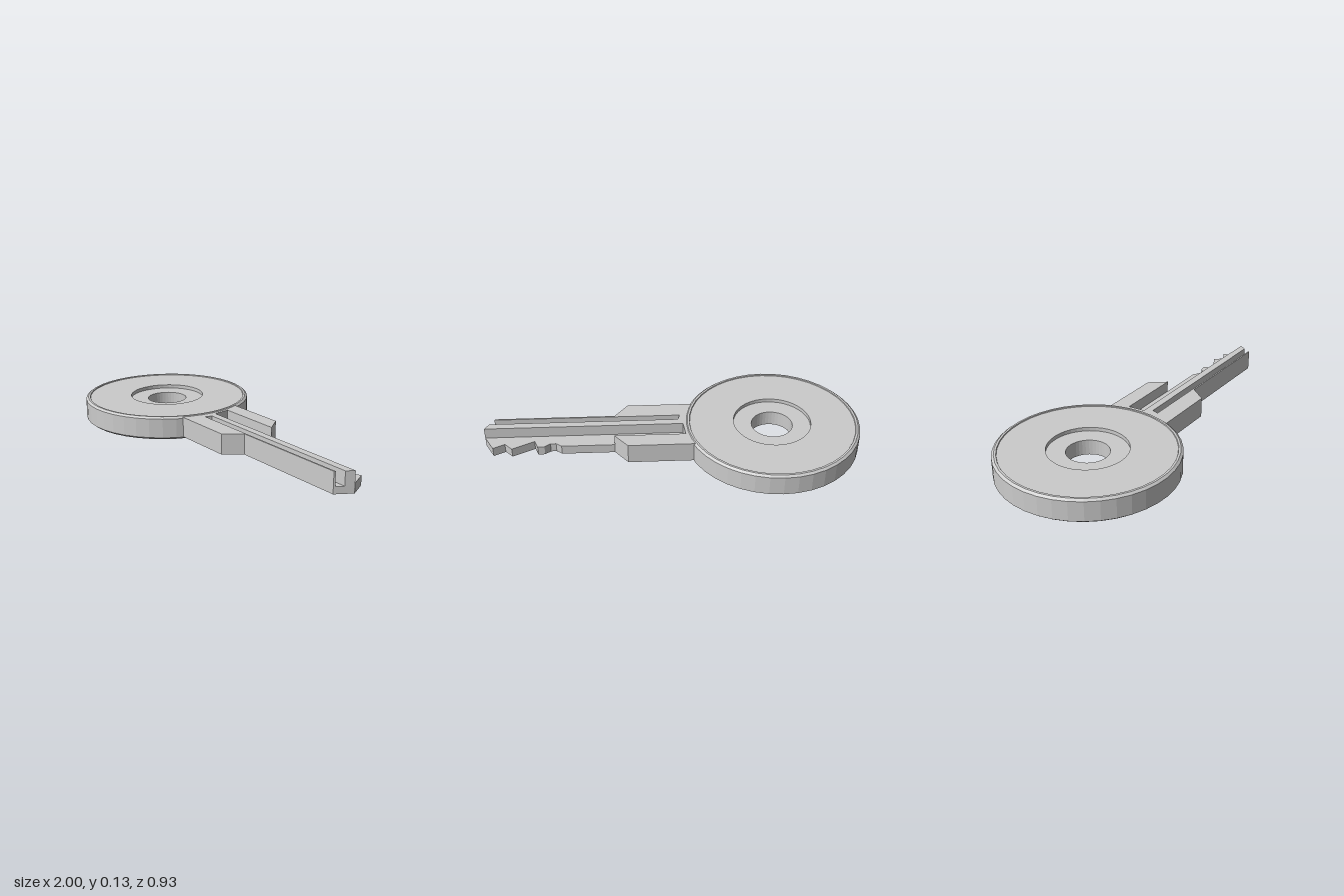
import * as THREE from 'three';

const HEAD_X = -0.533;
const material = new THREE.MeshStandardMaterial({ color: 0xcccccc, flatShading: true });

// Flat slab from an [x, z] outline, between two heights
function slab(name, points, y0, y1) {
  const shape = new THREE.Shape(points.map(([x, z]) => new THREE.Vector2(x, -z)));
  const geometry = new THREE.ExtrudeGeometry(shape, { depth: y1 - y0, bevelEnabled: false });
  geometry.rotateX(-Math.PI / 2);
  geometry.translate(0, y0, 0);
  const mesh = new THREE.Mesh(geometry, material);
  mesh.name = name;
  return mesh;
}

export function createModel() {
  const key = new THREE.Group();
  key.name = 'key';

  // Round head: chamfered edge, thin raised rim, recesses on both faces, through hole
  const profile = [
    [0.11, 0.02], [0.207, 0.02], [0.207, 0], [0.452, 0], [0.467, 0.012],
    [0.467, 0.117], [0.455, 0.127], [0.444, 0.127], [0.442, 0.122],
    [0.207, 0.122], [0.207, 0.102], [0.11, 0.102], [0.11, 0.02],
  ].map(([r, y]) => new THREE.Vector2(r, y));
  const head = new THREE.Mesh(new THREE.LatheGeometry(profile, 40), material);
  head.name = 'head';
  head.position.x = HEAD_X;
  key.add(head);

  // Curved root of the shank, tucked under the head rim, from +z to -z
  const root = [];
  for (let i = 0; i <= 8; i++) {
    const z = 0.178 - (0.356 * i) / 8;
    root.push([HEAD_X + Math.sqrt(0.45 ** 2 - z * z), z]);
  }

  // Outline pieces shared by the layers
  const backShoulder = [[0.24, -0.178], [0.31, -0.09]];
  const frontShoulder = [[0.95, 0.085], [0.31, 0.085], [0.24, 0.178]];
  const teeth = [
    [0.59, -0.09], [0.62, -0.067], [0.65, -0.067], [0.68, -0.09], [0.715, -0.093],
    [0.735, -0.042], [0.85, -0.102], [0.89, -0.06], [0.95, -0.092],
  ];
  const groove = [[0.976, 0.04], [-0.03, 0.04], [-0.04, 0.077], [0.954, 0.077]];
  const pocket = [[-0.065, -0.09], [-0.055, 0]];
  const tip = [[1, 0]];

  // Shank and blade: solid base, then grooved layer, then layer with the long milled step
  key.add(slab('bladeBase', [...root, ...backShoulder, ...teeth, ...tip, ...frontShoulder], 0.013, 0.05));
  key.add(slab('bladeGrooved',
    [...root, ...backShoulder, ...teeth, ...tip, ...groove, ...frontShoulder], 0.05, 0.063));
  key.add(slab('bladeTop',
    [...root, ...backShoulder, ...pocket, ...tip, ...groove, ...frontShoulder], 0.063, 0.123));

  return key;
}
